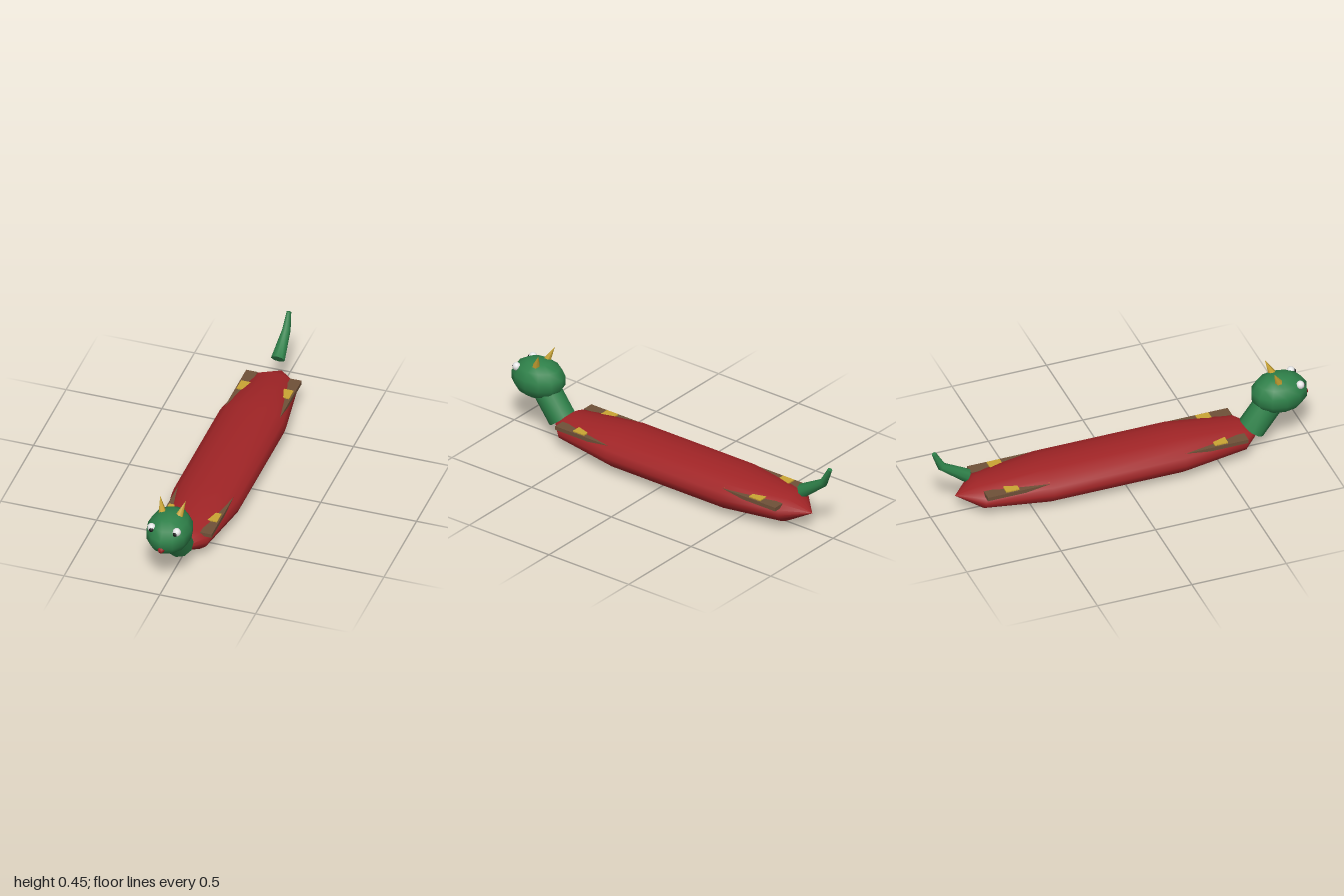
import * as THREE from 'three';

const mat = (name, color) => {
  const m = new THREE.MeshStandardMaterial({ color });
  m.name = name;
  return m;
};

// Skin over elliptical rings. Station: [y, z, radius across, radius up, tilt of the axis]
function loft(stations, sides) {
  const pos = [], index = [];
  stations.forEach(([y, z, rx, ry, tilt = 0], i) => {
    for (let j = 0; j < sides; j++) {
      const a = Math.PI / 2 + (j / sides) * Math.PI * 2;
      const up = ry * Math.sin(a);
      pos.push(rx * Math.cos(a), y + up * Math.cos(tilt), z - up * Math.sin(tilt));
      if (i === 0) continue;
      const k = (j + 1) % sides, p = (i - 1) * sides, q = i * sides;
      index.push(p + j, p + k, q + j, p + k, q + k, q + j);
    }
  });
  const g = new THREE.BufferGeometry();
  g.setAttribute('position', new THREE.Float32BufferAttribute(pos, 3));
  g.setIndex(index);
  g.computeVertexNormals();
  return g;
}

// Round tube with flat, sharp-edged ends. Station: [y, z, radius, tilt]
function cappedTube(stations, sides) {
  const rings = stations.map(([y, z, r, t]) => [y, z, r, r, t]);
  const first = rings[0], last = rings[rings.length - 1];
  const point = ([y, z, , , t]) => [y, z, 0, 0, t];
  return loft([point(first), first, ...rings, last, point(last)], sides);
}

export function createModel() {
  const group = new THREE.Group();
  group.name = 'dragonBoat';

  const red = mat('hullRed', 0xa02426);
  const green = mat('dragonGreen', 0x2e8049);
  const gold = mat('gold', 0xc9a433);
  const brown = mat('woodBrown', 0x6f5038);
  const white = mat('eyeWhite', 0xf0f0f0);
  const black = mat('pupilBlack', 0x1a1a1a);

  const add = (name, geometry, material, x = 0, y = 0, z = 0) => {
    const m = new THREE.Mesh(geometry, material);
    m.name = name;
    m.position.set(x, y, z);
    group.add(m);
    return m;
  };

  // Hull, pointed at both ends
  add('hull', loft([
    [0.1, -0.87, 0, 0],
    [0.1, -0.75, 0.125, 0.066],
    [0.1, -0.41, 0.178, 0.097],
    [0.1, 0.29, 0.178, 0.097],
    [0.1, 0.63, 0.125, 0.066],
    [0.1, 0.75, 0, 0],
  ], 16), red);

  // Seats crossing the hull
  for (let i = 0; i < 6; i++) {
    add('seat', new THREE.BoxGeometry(0.274, 0.014, 0.07), gold, 0, 0.151, -0.615 + i * 0.221);
  }

  // Neck and head
  add('neck', cappedTube([
    [0.11, 0.698, 0.0715, 0.93],
    [0.27, 0.818, 0.0715, 0.93],
  ], 10), green);
  const head = add('head', new THREE.SphereGeometry(1, 12, 7), green, 0, 0.294, 0.847);
  head.scale.set(0.116, 0.104, 0.148);
  add('nose', new THREE.SphereGeometry(0.018, 6, 6), red, 0, 0.264, 0.982);

  // Raised tail
  add('tail', cappedTube([
    [0.21, -0.81, 0.036, 2.53],
    [0.297, -0.941, 0.022, 2.26],
    [0.382, -0.981, 0.012, 1.99],
  ], 8), green);

  // Paired parts
  for (const s of [1, -1]) {
    add('gunwale', new THREE.BoxGeometry(0.06, 0.02, 1.38), brown, s * 0.115, 0.142, -0.06);
    add('eye', new THREE.SphereGeometry(0.0215, 10, 8), white, s * 0.066, 0.354, 0.934);
    add('pupil', new THREE.SphereGeometry(0.0125, 6, 6), black, s * 0.0625, 0.35, 0.949);

    const base = new THREE.Vector3(s * 0.043, 0.376, 0.829);
    const axis = new THREE.Vector3(s * 0.067, 0.452, 0.797).sub(base);
    const cone = new THREE.ConeGeometry(0.021, axis.length(), 6);
    cone.translate(0, axis.length() / 2, 0);
    const horn = add('horn', cone, gold, base.x, base.y, base.z);
    horn.quaternion.setFromUnitVectors(new THREE.Vector3(0, 1, 0), axis.normalize());
  }

  return group;
}
